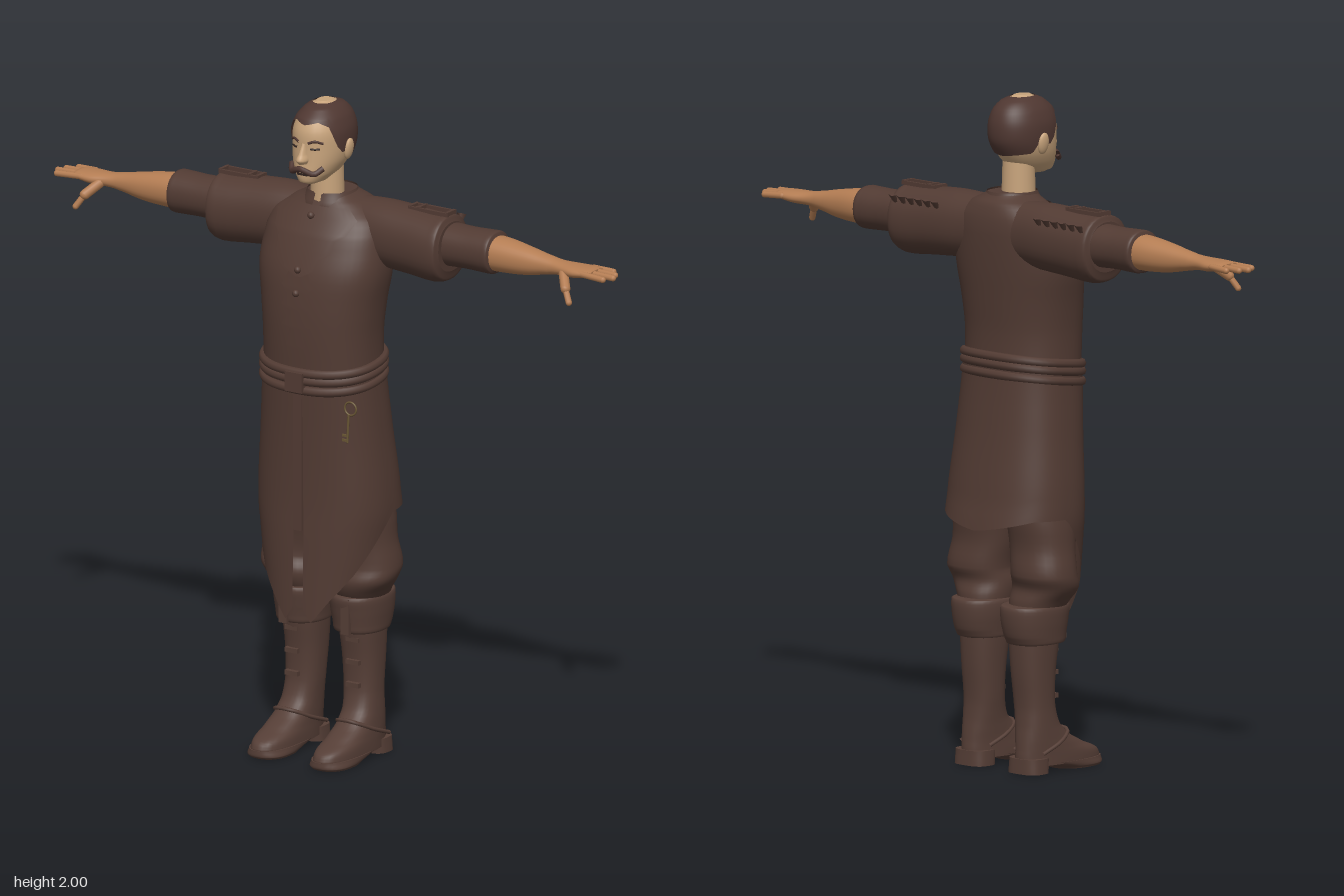
import * as THREE from 'three';

const mat = (name, color, side = THREE.FrontSide) => new THREE.MeshStandardMaterial({ name, color, side });

// A section is [y, centreX, halfWidth, frontZ, backZ], listed from top to bottom.
function smooth(sec, n = 4) {
  const out = [];
  for (let i = 0; i < sec.length - 1; i++) {
    const [a, b, c, d] = [sec[Math.max(i - 1, 0)], sec[i], sec[i + 1], sec[Math.min(i + 2, sec.length - 1)]];
    for (let k = 0; k < n; k++) {
      const t = k / n;
      out.push(b.map((v, m) => {
        if (m === 0) return v + (c[0] - v) * t;
        const quad = 2 * a[m] - 5 * v + 4 * c[m] - d[m];
        const cubic = 3 * (v - c[m]) + d[m] - a[m];
        return v + 0.5 * t * (c[m] - a[m] + t * (quad + t * cubic));
      }));
    }
  }
  out.push(sec[sec.length - 1]);
  return out;
}

function sample(sec, y) {
  if (y >= sec[0][0]) return sec[0];
  for (let i = 1; i < sec.length; i++) {
    if (y >= sec[i][0]) {
      const t = (sec[i - 1][0] - y) / (sec[i - 1][0] - sec[i][0]);
      return sec[i].map((v, m) => sec[i - 1][m] + (v - sec[i - 1][m]) * t);
    }
  }
  return sec[sec.length - 1];
}

const lerpTable = (tab, v) => -sample(tab.map(([a, b]) => [-a, -b]), -v)[1];

// Point on a rounded section; angle 0 is the front, turning towards +x
function ringPoint([y, cx, rx, zf, zb], a, p, grow = 0) {
  const f = v => Math.sign(v) * Math.abs(v) ** (2 / p);
  return [cx + (rx + grow) * f(Math.sin(a)), y, (zf + zb) / 2 + ((zf - zb) / 2 + grow) * f(Math.cos(a))];
}

function frontZ(sec, x, y, p) {
  const [, cx, rx, zf, zb] = sample(sec, y);
  const u = Math.min(Math.abs((x - cx) / rx), 0.97);
  return (zf + zb) / 2 + (zf - zb) / 2 * (1 - u ** p) ** (1 / p);
}

function gridGeometry(rows, skip = [], closed = false) {
  const n = rows[0].length, index = [];
  for (let i = 0; i < rows.length - 1; i++) {
    if (skip.includes(i)) continue;
    for (let j = 0; j < n - 1; j++) {
      const a = i * n + j, c = a + n;
      index.push(a, c, a + 1, a + 1, c, c + 1);
    }
  }
  const g = new THREE.BufferGeometry();
  g.setAttribute('position', new THREE.Float32BufferAttribute(rows.flat(2), 3));
  g.setIndex(index);
  g.computeVertexNormals();
  if (closed) { // blend the normals across the seam
    const nor = g.attributes.normal, u = new THREE.Vector3(), v = new THREE.Vector3();
    for (let a = 0; a < nor.count; a += n) {
      u.fromBufferAttribute(nor, a).add(v.fromBufferAttribute(nor, a + n - 1)).normalize();
      nor.setXYZ(a, u.x, u.y, u.z);
      nor.setXYZ(a + n - 1, u.x, u.y, u.z);
    }
  }
  return g;
}

// Closed solid through the sections, with flat ends
function loft(sections, p = 2.2, n = 32) {
  const sec = smooth(sections);
  const ring = s => Array.from({ length: n + 1 }, (_, j) => ringPoint(s, j / n * Math.PI * 2, p));
  const point = ([y, cx, , zf, zb]) => Array(n + 1).fill([cx, y, (zf + zb) / 2]);
  const rings = sec.map(ring), last = rings.length - 1;
  return gridGeometry([point(sec[0]), rings[0], ...rings, rings[last], point(sec[last])], [1, last + 2], true);
}

// Open cloth over the sections, with a hem that varies by angle and an optional front slit
function shell(sections, top, hem, { p = 2.2, grow = 0, slit, rows = 20, n = 64 } = {}) {
  const sec = smooth(sections), grid = [];
  for (let i = 0; i <= rows; i++) {
    const t = i / rows, g = slit ? slit(t) : 0;
    grid.push(Array.from({ length: n + 1 }, (_, j) => {
      const a = g + (2 * Math.PI - 2 * g) * j / n;
      const y = top + (hem(Math.min(a, 2 * Math.PI - a)) - top) * t;
      return ringPoint([y, ...sample(sec, y).slice(1)], a, p, grow);
    }));
  }
  return gridGeometry(grid, [], !slit);
}

// Thin trim lying on the front of a body; rows are [y, halfWidth]
function frontTrim(sections, rows, p, lift) {
  const sec = smooth(sections);
  return gridGeometry(rows.map(([y, w]) => Array.from({ length: 17 }, (_, j) => {
    const x = w * (j / 8 - 1);
    return [x, y, frontZ(sec, x, y, p) + lift];
  })));
}

const along = g => g.rotateZ(-Math.PI / 2); // turns a vertical loft into an arm along +x
const box = (w, h, d, x, y, z) => new THREE.BoxGeometry(w, h, d).translate(x, y, z);
const tube = (pts, r, closed = false) =>
  new THREE.TubeGeometry(new THREE.CatmullRomCurve3(pts.map(q => new THREE.Vector3(...q)), closed), closed ? 64 : 16, r, 8, closed);
function limb(a, b, r) {
  const p = new THREE.Vector3(...a), d = new THREE.Vector3(...b).sub(p);
  const g = new THREE.CapsuleGeometry(r, d.length(), 4, 10);
  g.applyQuaternion(new THREE.Quaternion().setFromUnitVectors(new THREE.Vector3(0, 1, 0), d.clone().normalize()));
  return g.translate(...p.addScaledVector(d, 0.5).toArray());
}
function mirror(g) {
  const m = g.clone().applyMatrix4(new THREE.Matrix4().makeScale(-1, 1, 1)), ix = m.index.array;
  for (let i = 0; i < ix.length; i += 3) [ix[i], ix[i + 1]] = [ix[i + 1], ix[i]];
  return m;
}

export function createModel() {
  const model = new THREE.Group();
  model.name = 'figure';
  const coat = mat('coatBrown', 0x523b33, THREE.DoubleSide), boot = mat('bootBrown', 0x553e36);
  const hair = mat('hairBrown', 0x4f3731, THREE.DoubleSide), face = mat('faceSkin', 0xc7a37b);
  const skin = mat('armSkin', 0xb47d53), brass = mat('brass', 0x6a5735), dark = mat('darkBrown', 0x2f221e);
  const add = (name, g, m) => { const o = new THREE.Mesh(g, m); o.name = name; model.add(o); };
  const pair = (name, g, m) => { add(name + 'Left', g, m); add(name + 'Right', mirror(g), m); };

  // Tunic body
  const torso = [[1.715, 0, 0.07, 0.035, -0.11], [1.69, 0, 0.12, 0.045, -0.135], [1.65, 0, 0.18, 0.075, -0.148],
    [1.6, 0, 0.2, 0.105, -0.152], [1.5, 0, 0.208, 0.142, -0.147], [1.4, 0, 0.193, 0.155, -0.138],
    [1.3, 0, 0.183, 0.157, -0.13], [1.17, 0, 0.183, 0.152, -0.133]];
  add('tunic', loft(torso, 2.3, 48), coat);
  add('collar', shell([[1.72, 0, 0.07, 0.04, -0.11], [1.68, 0, 0.09, 0.055, -0.125]], 1.72, () => 1.67, { slit: () => 0.12, rows: 4 }), coat);
  add('chestYoke', frontTrim(torso, [[1.685, 0.1], [1.655, 0.14], [1.615, 0.125], [1.6, 0.1], [1.56, 0.092],
    [1.545, 0.065], [1.51, 0.05], [1.49, 0.012]], 2.3, 0.009), coat);
  add('jaggedPlacket', frontTrim(torso, [[1.5, 0.035], [1.46, 0.055], [1.44, 0.035], [1.4, 0.052], [1.385, 0.028],
    [1.34, 0.05], [1.33, 0.02], [1.28, 0.035], [1.27, 0.015], [1.22, 0.01]], 2.3, 0.006), coat);
  for (const [y, z] of [[1.66, 0.08], [1.51, 0.15], [1.44, 0.16]])
    add('button', new THREE.SphereGeometry(0.011, 12, 8).translate(0, y, z), coat);

  // Skirt with slit front and pointed front panels
  const skirt = [[1.22, 0, 0.184, 0.155, -0.134], [1, 0, 0.2, 0.146, -0.155], [0.8, 0, 0.216, 0.143, -0.182],
    [0.7, 0, 0.21, 0.146, -0.2], [0.42, 0, 0.17, 0.152, -0.2]];
  const hem = [[0, 0.49], [0.2, 0.43], [0.5, 0.5], [0.9, 0.58], [1.3, 0.68], [1.6, 0.76], [2.2, 0.76], [3.2, 0.72]];
  add('skirt', shell(skirt, 1.2, a => lerpTable(hem, a), { p: 2.4, slit: t => 0.008 + 0.06 * t, n: 96 }), coat);

  // Belts, hanging strap and buckle; the belts rise towards the back
  for (const y of [1.165, 1.195, 1.218])
    add('belt', tube(Array.from({ length: 32 }, (_, i) => {
      const q = ringPoint([y, 0, 0.183, 0.154, -0.133], i / 16 * Math.PI, 2.3);
      return [q[0], q[1] - q[2] * 0.14, q[2]];
    }), 0.014, true), coat);
  add('beltBuckle', box(0.06, 0.06, 0.02, 0, 1.17, 0.164), coat);
  add('hangingStrap', box(0.03, 0.44, 0.01, 0, 0.93, 0.148), coat);

  // Key beside the skirt
  add('keyRing', new THREE.TorusGeometry(0.02, 0.003, 8, 24).translate(0.197, 1.12, 0.165), brass);
  add('keyShaft', limb([0.19, 1.1, 0.165], [0.186, 1.015, 0.165], 0.0035), brass);
  for (const y of [1.02, 1.035]) add('keyTooth', box(0.018, 0.007, 0.005, 0.177, y, 0.165), brass);

  // Sleeves
  pair('upperSleeve', along(loft([[0.41, -1.6, 0.075, 0.02, -0.13], [0.402, -1.595, 0.098, 0.038, -0.148],
    [0.37, -1.591, 0.102, 0.042, -0.152], [0.28, -1.597, 0.101, 0.036, -0.15], [0.18, -1.603, 0.1, 0.03, -0.148],
    [0.08, -1.605, 0.095, 0.02, -0.14]])), coat);
  pair('lowerSleeve', along(loft([[0.57, -1.603, 0.05, -0.01, -0.11], [0.563, -1.605, 0.063, 0.002, -0.128],
    [0.54, -1.605, 0.064, 0.003, -0.129], [0.47, -1.605, 0.062, 0.003, -0.127], [0.38, -1.605, 0.065, 0.005, -0.13]])), coat);
  for (const z of [-0.04, -0.08]) pair('shoulderStrapRail', box(0.14, 0.012, 0.008, 0.335, 1.698, z), coat);
  for (const x of [0.27, 0.3, 0.4]) pair('shoulderStrapBar', box(0.01, 0.012, 0.045, x, 1.7, -0.06), coat);
  for (let i = 0; i < 6; i++) // jagged trim behind the shoulders
    pair('shoulderTooth', new THREE.ConeGeometry(0.017, 0.05, 4).scale(1, 1, 0.3).rotateX(Math.PI * 0.84)
      .translate(0.21 + i * 0.034, 1.65, -0.137), coat);

  // Bare forearms and hands
  pair('forearm', along(loft([[0.915, -1.603, 0.009, -0.02, -0.1], [0.9, -1.603, 0.014, -0.016, -0.104],
    [0.85, -1.6, 0.019, -0.014, -0.102], [0.8, -1.6, 0.021, -0.025, -0.09], [0.76, -1.6, 0.027, -0.028, -0.09],
    [0.68, -1.6, 0.042, -0.018, -0.102], [0.6, -1.603, 0.051, -0.01, -0.115], [0.53, -1.605, 0.053, -0.006, -0.118]])), skin);
  for (const [x, zTip, z] of [[0.945, -0.106, -0.1], [0.97, -0.078, -0.075], [0.981, -0.05, -0.05], [0.965, -0.02, -0.025]])
    pair('finger', limb([0.88, 1.603, z], [x, 1.6, zTip], 0.0095), skin);
  pair('thumb', limb([0.82, 1.592, -0.03], [0.85, 1.56, 0.005], 0.015), skin);
  pair('thumbTip', limb([0.85, 1.56, 0.005], [0.872, 1.524, 0.02], 0.0095), skin);

  // Neck and head
  add('neck', new THREE.CylinderGeometry(0.047, 0.052, 0.17, 24).translate(0, 1.735, -0.008), face);
  const head = [[2, 0, 0.02, 0.035, -0.02], [1.985, 0, 0.045, 0.07, -0.06], [1.96, 0, 0.066, 0.1, -0.085],
    [1.92, 0, 0.08, 0.118, -0.098], [1.87, 0, 0.081, 0.12, -0.096], [1.83, 0, 0.074, 0.122, -0.075],
    [1.795, 0, 0.058, 0.125, -0.045], [1.77, 0, 0.036, 0.12, 0.01], [1.762, 0, 0.018, 0.1, 0.04]];
  add('head', loft(head, 2.15), face);
  const hairline = [[0, 1.945], [0.5, 1.955], [0.9, 1.94], [1.15, 1.88], [1.4, 1.855], [1.7, 1.87], [2, 1.835], [3.2, 1.825]];
  add('hair', shell(head, 1.996, a => lerpTable(hairline, a), { p: 2.15, grow: 0.006, rows: 16 }), hair);
  pair('ear', new THREE.SphereGeometry(1, 16, 12).scale(0.011, 0.033, 0.02).rotateZ(-0.15).translate(0.086, 1.862, 0.008), face);
  add('nose', loft([[1.89, 0, 0.008, 0.125, 0.09], [1.86, 0, 0.012, 0.14, 0.09], [1.842, 0, 0.018, 0.15, 0.09],
    [1.83, 0, 0.014, 0.14, 0.09]], 2, 16), face);
  add('moustache', tube([[-0.055, 1.817, 0.098], [-0.038, 1.802, 0.122], [-0.015, 1.812, 0.135], [0, 1.816, 0.137],
    [0.015, 1.812, 0.135], [0.038, 1.802, 0.122], [0.055, 1.817, 0.098]], 0.009), hair);
  add('mouth', box(0.036, 0.006, 0.006, 0, 1.797, 0.124), dark);
  pair('eyebrow', tube([[0.016, 1.893, 0.119], [0.035, 1.899, 0.111], [0.054, 1.892, 0.095]], 0.004), hair);
  pair('eye', tube([[0.022, 1.876, 0.117], [0.034, 1.875, 0.112], [0.047, 1.876, 0.102]], 0.003), dark);

  // Baggy trousers
  pair('trouserLeg', loft([[0.95, 0.09, 0.088, 0.11, -0.12], [0.76, 0.108, 0.1, 0.085, -0.125], [0.67, 0.117, 0.1, 0.06, -0.115],
    [0.59, 0.13, 0.1, 0.055, -0.125], [0.55, 0.122, 0.1, 0.07, -0.11], [0.51, 0.108, 0.085, 0.06, -0.12], [0.46, 0.1, 0.07, 0.03, -0.12]]), coat);

  // Boots with turned cuffs, straps and heels
  pair('bootCuff', loft([[0.5, 0.1, 0.07, 0.04, -0.13], [0.497, 0.1, 0.086, 0.068, -0.152], [0.455, 0.1, 0.086, 0.064, -0.152],
    [0.41, 0.101, 0.08, 0.056, -0.143], [0.385, 0.101, 0.076, 0.05, -0.13], [0.382, 0.1, 0.062, 0.02, -0.12]]), boot);
  pair('bootCuffFlap', box(0.028, 0.11, 0.012, 0.11, 0.44, 0.06), boot);
  pair('boot', loft([[0.4, 0.1, 0.065, 0.03, -0.122], [0.3, 0.101, 0.06, 0.015, -0.116], [0.2, 0.103, 0.056, 0.012, -0.106],
    [0.14, 0.107, 0.055, 0.03, -0.108], [0.1, 0.109, 0.056, 0.075, -0.113], [0.07, 0.11, 0.058, 0.135, -0.116],
    [0.05, 0.11, 0.06, 0.185, -0.118], [0.03, 0.11, 0.061, 0.2, -0.118], [0.022, 0.11, 0.061, 0.2, -0.118]], 2.4), boot);
  pair('sole', loft([[0.026, 0.11, 0.064, 0.204, -0.08], [0.008, 0.11, 0.064, 0.204, 0.01], [0, 0.11, 0.06, 0.195, 0.03]], 2.4), boot);
  pair('heel', loft([[0.045, 0.11, 0.058, -0.03, -0.122], [0, 0.11, 0.06, -0.035, -0.124]], 3), boot);
  for (const y of [0.22, 0.29, 0.36]) pair('bootStrap', box(0.045, 0.014, 0.016, 0.108, y, 0.017), boot);
  pair('instepBand', tube([[0.05, 0.06, -0.08], [0.052, 0.09, 0], [0.075, 0.115, 0.05], [0.11, 0.12, 0.058],
    [0.145, 0.115, 0.05], [0.168, 0.09, 0], [0.17, 0.06, -0.08]], 0.006), boot);

  return model;
}
